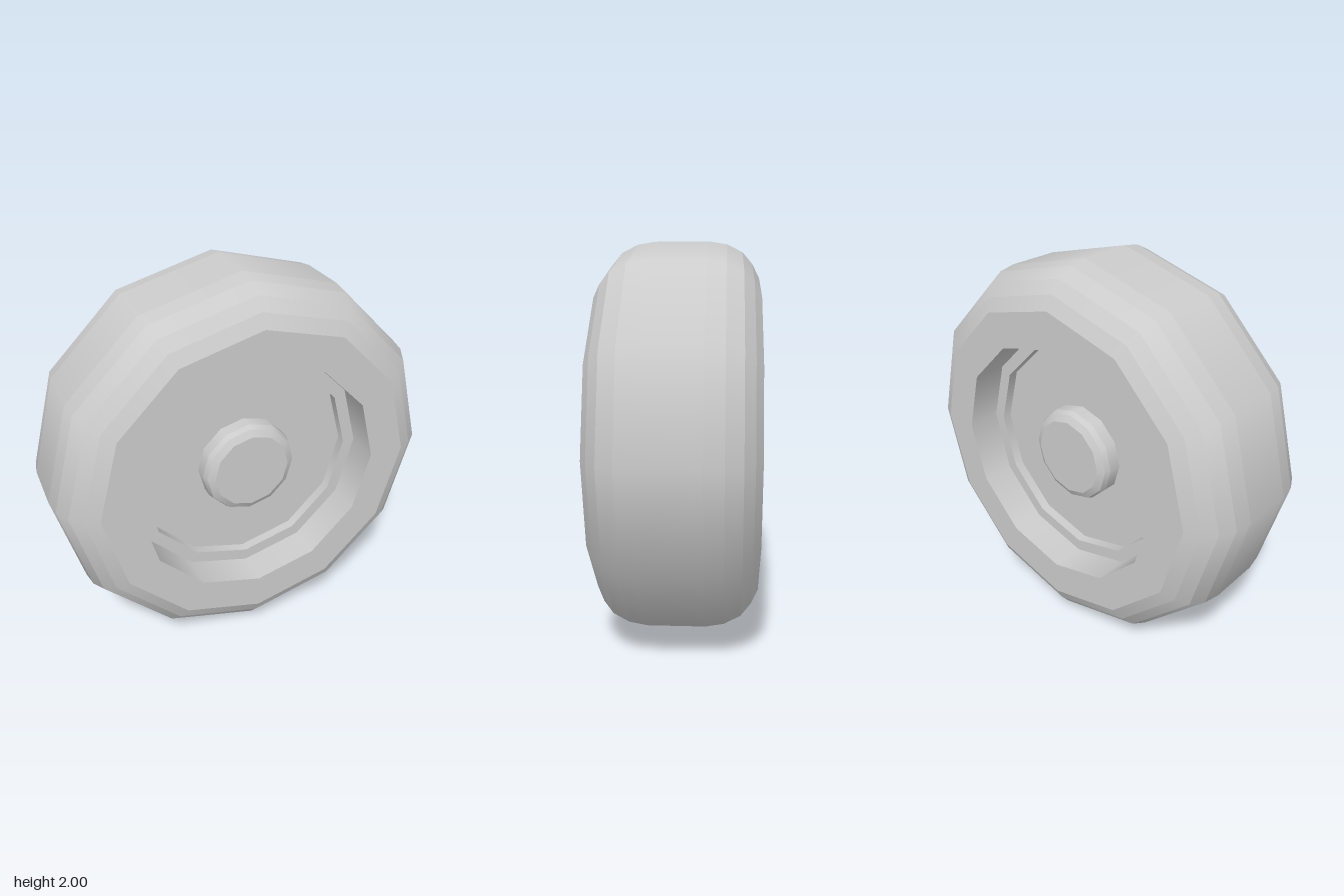
import * as THREE from 'three';
import { mergeGeometries } from 'three/addons/utils/BufferGeometryUtils.js';

const SIDES = 12;
const material = new THREE.MeshStandardMaterial({ color: 0xcccccc });

// Revolve a front half-profile of [radius, z] points, mirrored to the back.
// Each band is its own lathe: smooth around the axle, crisp between bands.
function revolve(name, half) {
  const back = half.map(([r, z]) => [r, -z]).reverse();
  const points = [...back, ...half].map(([r, z]) => new THREE.Vector2(r, z));
  const bands = [];
  for (let i = 0; i < points.length - 1; i++) {
    bands.push(new THREE.LatheGeometry([points[i], points[i + 1]], SIDES));
  }
  const geometry = mergeGeometries(bands);
  geometry.rotateX(Math.PI / 2); // axle along z
  const mesh = new THREE.Mesh(geometry, material);
  mesh.name = name;
  mesh.position.y = 1;
  return mesh;
}

export function createModel() {
  const wheel = new THREE.Group();
  wheel.name = 'wheel';

  // Tyre with rounded shoulders, flat side walls and a recess
  wheel.add(revolve('tyre', [
    [1, 0.14], [0.985, 0.23], [0.945, 0.31], [0.885, 0.36], [0.815, 0.395],
    [0.63, 0.395], [0.63, 0.22],
  ]));

  // Stepped rim closing the recess on both sides
  wheel.add(revolve('rim', [
    [0.63, 0.22], [0.565, 0.22], [0.565, 0.17], [0, 0.17],
  ]));

  // Hub with a rounded edge, standing out of the rim on both sides
  wheel.add(revolve('hub', [
    [0.247, 0.17], [0.247, 0.235], [0.236, 0.265], [0.2, 0.285], [0, 0.285],
  ]));

  return wheel;
}
